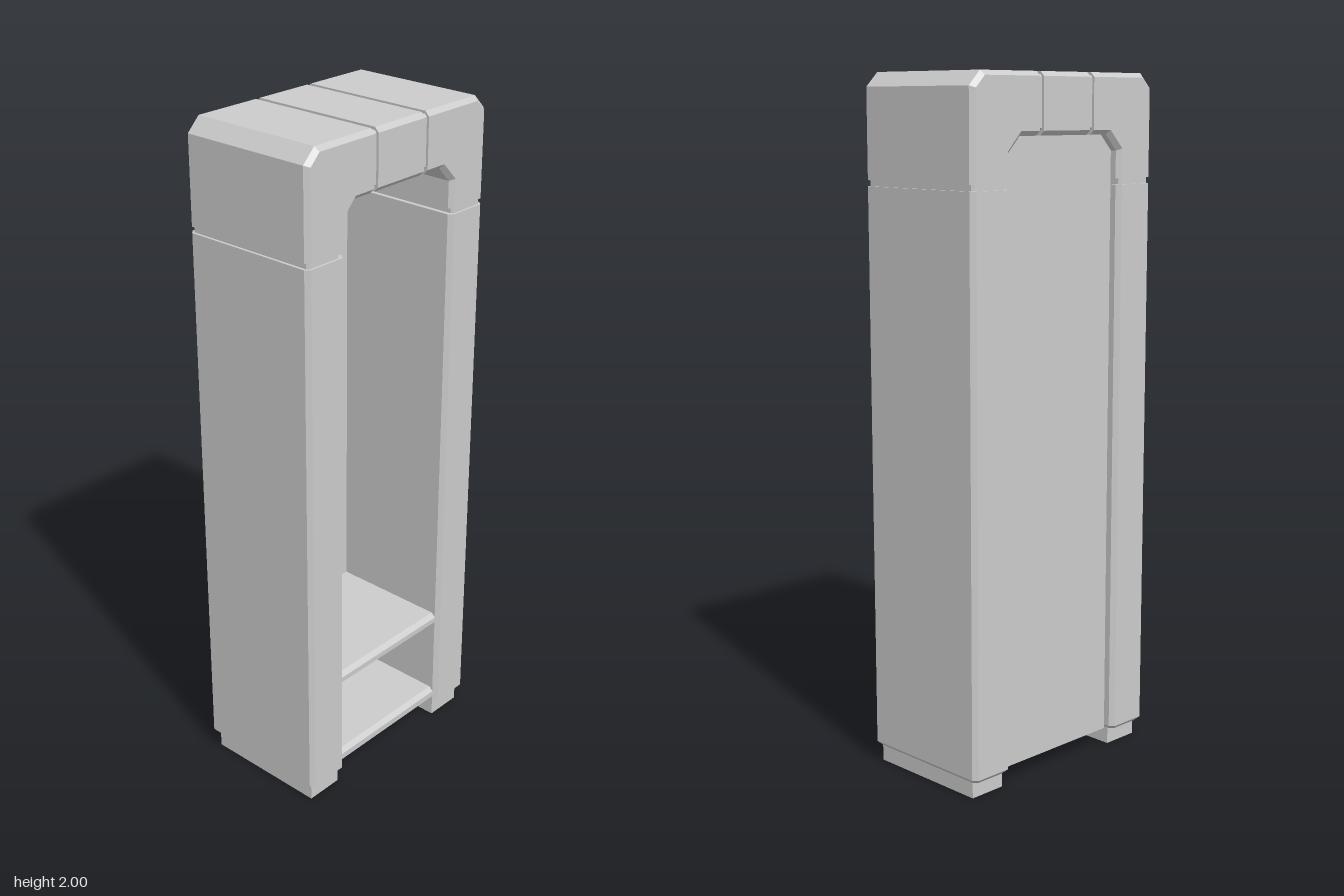
import * as THREE from 'three';

const T = Math.SQRT2 - 1; // offset factor at a 45 degree corner
const HALF_DEPTH = 0.217, BEVEL = 0.013;

// Outer and inner outline of the arch, moved into its body by d.
// corner 0: on the leg at height v, 1-2: ends of the slanted corner, 3: on the top at x = v
const outer = (corner, v, d) => [
  [0.356 - d, v], [0.356 - d, 1.96 - T * d], [0.316 - T * d, 2 - d], [v, 2 - d],
][corner];
const inner = (corner, v, d) => [
  [0.215 + d, v], [0.215 + d, 1.785 + T * d], [0.172 + T * d, 1.83 + d], [v, 1.83 + d],
][corner];

// Bevelled eight-sided section lofted along the arch; stations are [corner, v, shrink]
function archPiece(stations, { side = 1, dOut = 0, dIn = 0, half = HALF_DEPTH, bevel = BEVEL } = {}) {
  const rings = stations.map(([corner, v, s = 0]) => {
    const o = (d) => outer(corner, v, dOut + s + d);
    const i = (d) => inner(corner, v, dIn + s + d);
    const z = half - s, zb = z - bevel;
    return [
      [o(0), zb], [o(bevel), z], [i(bevel), z], [i(0), zb],
      [i(0), -zb], [i(bevel), -z], [o(bevel), -z], [o(0), -zb],
    ].map(([[x, y], zz]) => [x * side, y, zz]);
  });
  const pos = [];
  const tri = (a, b, c) => (side > 0 ? pos.push(...a, ...b, ...c) : pos.push(...a, ...c, ...b));
  for (let r = 0; r < rings.length - 1; r++) {
    for (let k = 0; k < 8; k++) {
      const n = (k + 1) % 8, p = rings[r], q = rings[r + 1];
      tri(p[k], q[k], q[n]);
      tri(p[k], q[n], p[n]);
    }
  }
  const first = rings[0], last = rings[rings.length - 1];
  for (let k = 1; k < 7; k++) {
    tri(first[0], first[k], first[k + 1]);
    tri(last[0], last[k + 1], last[k]);
  }
  const g = new THREE.BufferGeometry();
  g.setAttribute('position', new THREE.Float32BufferAttribute(pos, 3));
  g.computeVertexNormals();
  return g;
}

// Shelf: bevelled profile in depth and height, extruded across the width
function shelfGeometry(y0, y1) {
  const b = BEVEL, front = 0.205, back = -0.17;
  const shape = new THREE.Shape([
    [back, y0], [front - b, y0], [front, y0 + b], [front, y1 - b], [front - b, y1], [back, y1],
  ].map(([z, y]) => new THREE.Vector2(-z, y)));
  const g = new THREE.ExtrudeGeometry(shape, { depth: 0.432, bevelEnabled: false });
  g.translate(0, 0, -0.216);
  g.rotateY(Math.PI / 2); // profile's -x becomes +z
  return g;
}

export function createModel() {
  const group = new THREE.Group();
  const material = new THREE.MeshStandardMaterial({ color: 0xcccccc, flatShading: true });
  const add = (name, geometry) => {
    const mesh = new THREE.Mesh(geometry, material);
    mesh.name = name;
    group.add(mesh);
    return mesh;
  };

  for (const side of [1, -1]) {
    const label = side > 0 ? 'left' : 'right';
    // Side column with a bevelled bottom
    add(label + 'Column', archPiece([[0, 0.048, BEVEL], [0, 0.048 + BEVEL], [0, 1.69]], { side }));
    // Slanted top corner block
    add(label + 'CornerBlock', archPiece([[0, 1.707], [1, 0], [2, 0], [3, 0.107]], { side }));
    // Slightly smaller core that closes the grooves between blocks
    add(label + 'Core', archPiece([[0, 0.07], [1, 0], [2, 0], [3, 0]],
      { side, dOut: 0.008, dIn: 0.013, half: 0.21, bevel: 0.007 }));
    // Foot running front to back
    add(label + 'Foot', new THREE.BoxGeometry(0.116, 0.06, 0.386)).position.set(side * 0.283, 0.03, 0.003);
  }

  add('topBlock', archPiece([[3, 0.092], [3, -0.092]]));

  // Recessed back panel that follows the inside of the arch
  const half = [[0.216, 0.05], [0.216, 1.786], [0.172, 1.831]];
  const outline = [...half, ...half.map(([x, y]) => [-x, y]).reverse()];
  const panel = new THREE.ExtrudeGeometry(
    new THREE.Shape(outline.map(([x, y]) => new THREE.Vector2(x, y))),
    { depth: 0.02, bevelEnabled: false });
  panel.translate(0, 0, -0.185);
  add('backPanel', panel);

  add('upperShelf', shelfGeometry(0.348, 0.39));
  add('bottomShelf', shelfGeometry(0.065, 0.11));
  return group;
}
